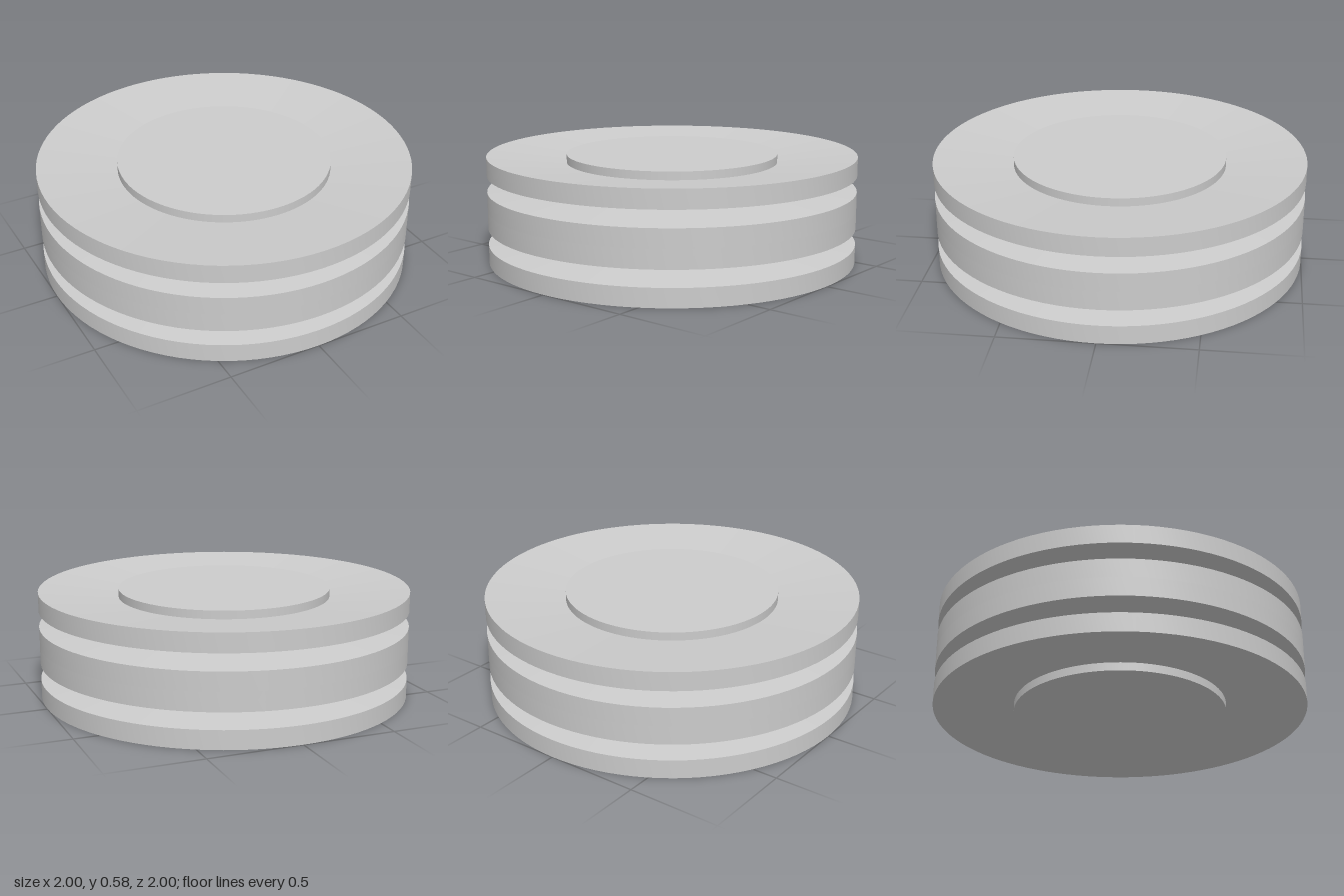
import * as THREE from 'three';
import { toCreasedNormals } from 'three/addons/utils/BufferGeometryUtils.js';

const SEGMENTS = 96;
const OUTER = 1;        // washer outer radius
const INNER = 0.571;    // washer bore and core radius
const THICK = 0.1;      // washer thickness
const CONE = 0.044;     // rise of the cone from rim to bore
const PAIR = 2 * (THICK + CONE); // height of two mirrored washers

export function createModel() {
  const model = new THREE.Group();
  model.name = 'springWasherStack';
  const material = new THREE.MeshStandardMaterial({ color: 0xcccccc });

  // Conical washer: rim at the bottom, bore raised
  const profile = [[INNER, CONE], [OUTER, 0], [OUTER, THICK], [INNER, THICK + CONE], [INNER, CONE]]
    .map(([r, y]) => new THREE.Vector2(r, y));
  // A small crease angle keeps the shallow edges sharp
  const washerGeometry = toCreasedNormals(new THREE.LatheGeometry(profile, SEGMENTS), 0.3);

  // Two pairs, each a washer and its upside-down twin meeting at the bore
  for (let pair = 0; pair < 2; pair++) {
    for (const flipped of [false, true]) {
      const washer = new THREE.Mesh(washerGeometry, material);
      washer.name = `${flipped ? 'upper' : 'lower'}Washer${pair + 1}`;
      washer.position.y = PAIR * (pair + (flipped ? 1 : 0));
      if (flipped) washer.rotation.x = Math.PI;
      model.add(washer);
    }
  }

  // Solid core through the whole stack, level with the outer rims
  const core = new THREE.Mesh(new THREE.CylinderGeometry(INNER, INNER, 2 * PAIR, SEGMENTS), material);
  core.name = 'core';
  core.position.y = PAIR;
  model.add(core);

  return model;
}
